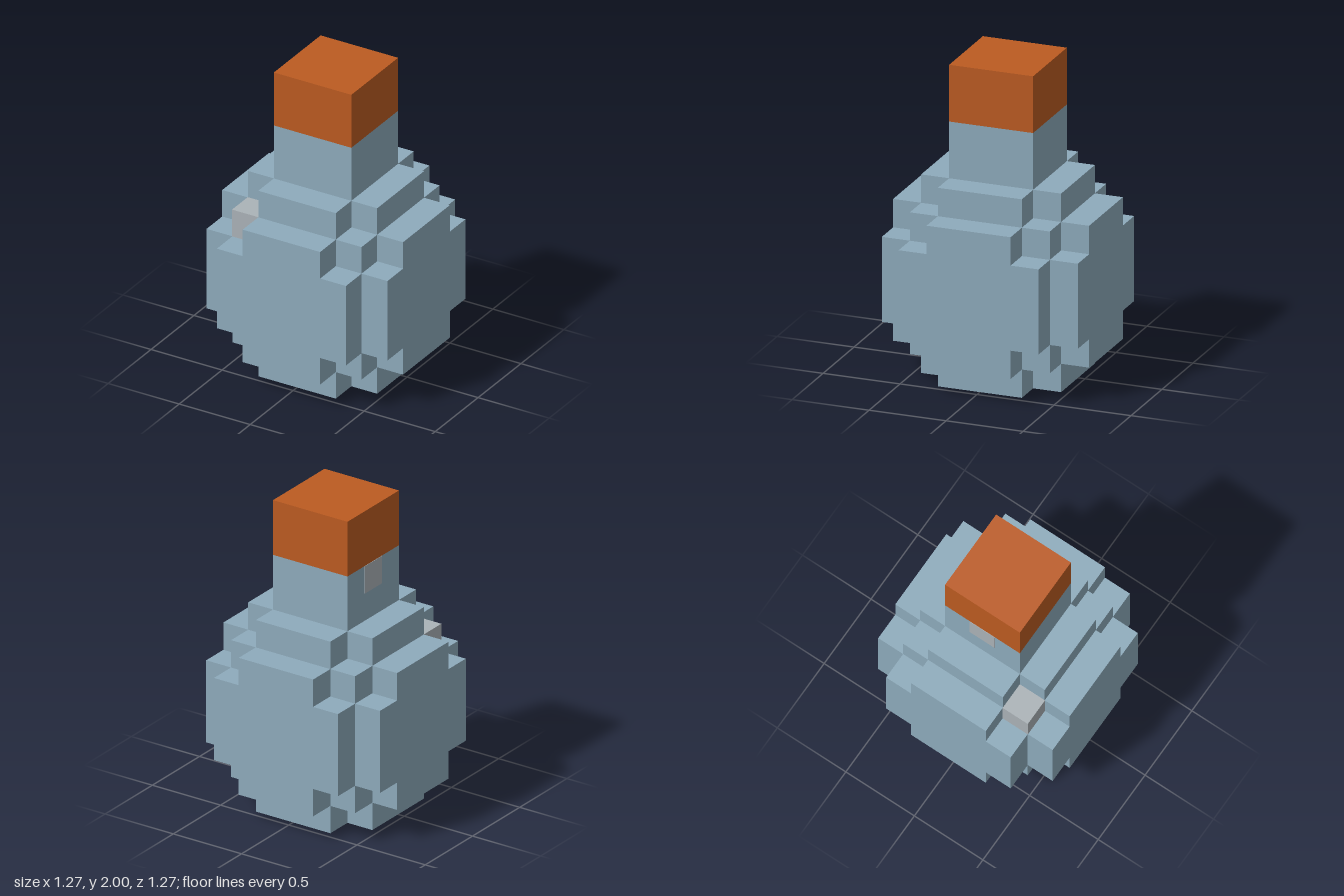
import * as THREE from 'three';

const U = 2 / 11; // edge of one block
const HALF = Math.PI / 2;

export function createModel() {
  const model = new THREE.Group();
  model.name = 'blockFlask';

  const paint = (name, color) => {
    const m = new THREE.MeshStandardMaterial({ color });
    m.name = name;
    return m;
  };
  const glass = paint('blueGlass', 0x8eabbc);
  const cork = paint('orangeCork', 0xbc5b21);
  const shine = paint('greyHighlight', 0xabb3b8);

  // Box sized and placed in blocks
  const box = (name, mat, size, pos, parent = model) => {
    const mesh = new THREE.Mesh(new THREE.BoxGeometry(...size.map(v => v * U)), mat);
    mesh.position.set(...pos).multiplyScalar(U);
    mesh.name = name;
    parent.add(mesh);
    return mesh;
  };

  // Round body: a core block with a notched panel on each of its six sides
  const body = new THREE.Group();
  body.name = 'body';
  body.position.y = 3.5 * U;
  model.add(body);
  box('bodyCore', glass, [5, 5, 5], [0, 0, 0], body);

  const outline = [
    [1.5, 2.5], [-1.5, 2.5], [-1.5, 1.5], [-2.5, 1.5], [-2.5, -1.5], [-1.5, -1.5],
    [-1.5, -2.5], [1.5, -2.5], [1.5, -1.5], [2.5, -1.5], [2.5, 1.5], [1.5, 1.5],
  ].map(([x, y]) => new THREE.Vector2(x * U, y * U));
  const panelGeometry = new THREE.ExtrudeGeometry(new THREE.Shape(outline), { depth: U, bevelEnabled: false });
  panelGeometry.translate(0, 0, 2.5 * U);

  const turns = {
    frontPanel: [0, 0], leftPanel: [0, HALF], backPanel: [0, Math.PI],
    rightPanel: [0, -HALF], topPanel: [-HALF, 0], bottomPanel: [HALF, 0],
  };
  for (const [name, [rx, ry]] of Object.entries(turns)) {
    const panel = new THREE.Mesh(panelGeometry, glass);
    panel.rotation.set(rx, ry, 0);
    panel.name = name;
    body.add(panel);
  }

  // Highlight block on the upper front corner, a hair proud of the core
  box('cornerHighlight', shine, [1.02, 1.02, 1.02], [-2, 2, 2], body);

  // Neck with a small highlight plate, and the stopper
  box('neck', glass, [3, 2, 3], [0, 8, 0]);
  box('neckHighlight', shine, [0.03, 1, 1], [-1.5, 8.5, 0]);
  box('stopper', cork, [3, 2, 3], [0, 10, 0]);

  return model;
}
